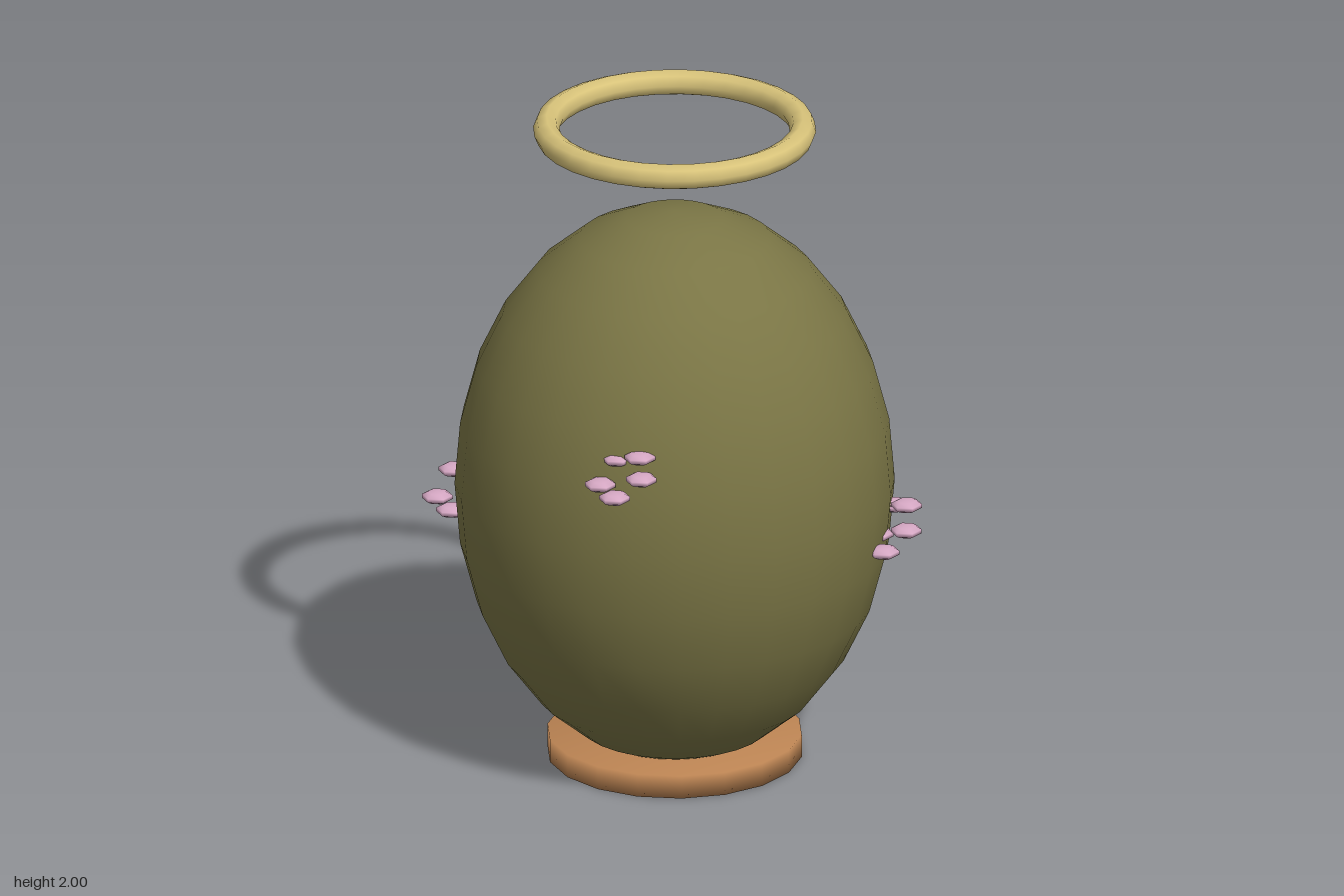
import * as THREE from 'three';
import { mergeVertices } from 'three/addons/utils/BufferGeometryUtils.js';

const material = (name, color) => {
  const m = new THREE.MeshStandardMaterial({ color });
  m.name = name;
  return m;
};

export function createModel() {
  const olive = material('olive', 0x7a7545);
  const clay = material('clay', 0xbc8453);
  const gold = material('pale gold', 0xd8c37a);
  const pink = material('pink', 0xd6a8c4);

  const model = new THREE.Group();
  model.name = 'eggOrnament';
  const add = (name, geometry, mat, parent, x, y, z) => {
    const mesh = new THREE.Mesh(geometry, mat);
    mesh.name = name;
    mesh.position.set(x, y, z);
    parent.add(mesh);
    return mesh;
  };
  const cx = -0.006, cz = -0.002;

  // Tall smooth egg
  const egg = new THREE.SphereGeometry(0.645, 28, 14);
  egg.scale(1, 0.85 / 0.645, 1);
  add('egg', egg, olive, model, cx, 0.854, cz);

  // Low round foot, shaded softly across its rims
  let foot = new THREE.CylinderGeometry(0.375, 0.375, 0.07, 18);
  foot.deleteAttribute('normal');
  foot.deleteAttribute('uv');
  foot = mergeVertices(foot);
  foot.computeVertexNormals();
  add('foot', foot, clay, model, cx, 0.035, cz);

  // Floating halo
  const halo = new THREE.TorusGeometry(0.376, 0.039, 8, 32);
  halo.rotateX(Math.PI / 2);
  add('halo', halo, gold, model, cx, 1.961, cz);

  // Flowers: five flattened six-sided petals each, partly sunk in the egg
  const petal = new THREE.SphereGeometry(0.048, 6, 5);
  petal.rotateY(Math.PI / 6);
  petal.scale(1, 0.38, 1);
  const flowers = {
    frontFlower: [[0.18, 1.08, 0.61], [0.25, 1.062, 0.633], [0.3, 1.112, 0.57], [0.265, 1.16, 0.53], [0.19, 1.142, 0.54]],
    leftFlower: [[0.605, 0.82, -0.32], [0.652, 0.772, -0.255], [0.623, 0.72, -0.185], [0.54, 0.8, -0.34], [0.545, 0.735, -0.26]],
    backFlower: [[-0.225, 1.16, -0.638], [-0.302, 1.145, -0.612], [-0.315, 1.085, -0.55], [-0.19, 1.12, -0.585], [-0.245, 1.07, -0.525]],
    rightFlower: [[-0.658, 0.8, 0.205], [-0.658, 0.74, 0.287], [-0.585, 0.724, 0.315], [-0.585, 0.812, 0.18], [-0.55, 0.765, 0.25]],
  };
  for (const [name, petals] of Object.entries(flowers)) {
    const flower = new THREE.Group();
    flower.name = name;
    for (const [x, y, z] of petals) add('petal', petal, pink, flower, x, y, z);
    model.add(flower);
  }
  return model;
}
